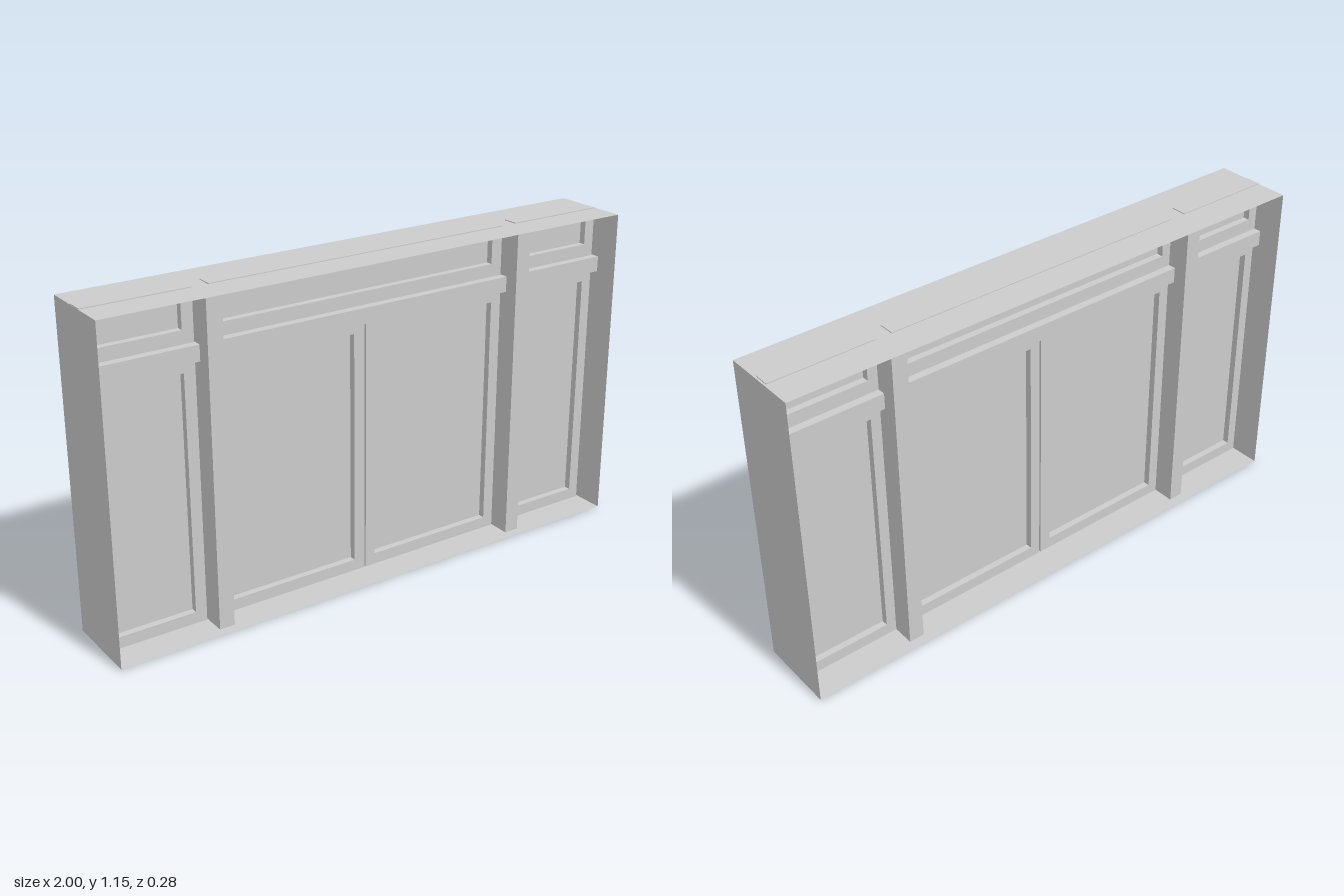
import * as THREE from 'three';

export function createModel() {
  const model = new THREE.Group();
  model.name = 'windowWall';
  const grey = new THREE.MeshStandardMaterial({ color: 0xcccccc, flatShading: true });
  const sheet = new THREE.MeshStandardMaterial({ color: 0xcccccc, flatShading: true, side: THREE.DoubleSide });

  const add = (name, geometry, material, parent = model) => {
    const mesh = new THREE.Mesh(geometry, material);
    mesh.name = name;
    parent.add(mesh);
    return mesh;
  };

  // Box spanning x0..x1 and y0..y1, centred on z = 0
  const bar = (name, x0, x1, y0, y1, depth) =>
    add(name, new THREE.BoxGeometry(x1 - x0, y1 - y0, depth), grey)
      .position.set((x0 + x1) / 2, (y0 + y1) / 2, 0);

  const rect = (target, x0, x1, y0, y1) => {
    target.moveTo(x0, y0);
    target.lineTo(x1, y0);
    target.lineTo(x1, y1);
    target.lineTo(x0, y1);
    target.closePath();
    return target;
  };

  // Window unit: a frame with an opening and a thin pane in the middle
  const frameDepth = 0.056;
  const paneDepth = 0.008;
  const windowUnit = (name, x0, x1, y0, y1, opening) => {
    const unit = new THREE.Group();
    unit.name = name;
    model.add(unit);
    const [ox0, ox1, oy0, oy1] = opening;
    const shape = rect(new THREE.Shape(), x0, x1, y0, y1);
    shape.holes.push(rect(new THREE.Path(), ox0, ox1, oy0, oy1));
    const frame = new THREE.ExtrudeGeometry(shape, { depth: frameDepth, bevelEnabled: false });
    frame.translate(0, 0, -frameDepth / 2);
    add('frame', frame, grey, unit);
    add('pane', new THREE.BoxGeometry(ox1 - ox0, oy1 - oy0, paneDepth), grey, unit)
      .position.set((ox0 + ox1) / 2, (oy0 + oy1) / 2, 0);
  };

  // Lower windows and the transom lights above them
  const lower = [
    ['rightSideWindow', -0.999, -0.634, -0.963, -0.674],
    ['rightDoor', -0.577, -0.006, -0.537, -0.047],
    ['leftDoor', 0, 0.569, 0.038, 0.529],
    ['leftSideWindow', 0.625, 0.993, 0.662, 0.954],
  ];
  for (const [name, x0, x1, ox0, ox1] of lower)
    windowUnit(name, x0, x1, 0, 0.917, [ox0, ox1, 0.044, 0.879]);

  const upper = [
    ['rightTransomLight', -0.999, -0.634, -0.963, -0.674],
    ['centreTransomLight', -0.577, 0.567, -0.54, 0.525],
    ['leftTransomLight', 0.625, 0.993, 0.662, 0.954],
  ];
  for (const [name, x0, x1, ox0, ox1] of upper)
    windowUnit(name, x0, x1, 0.972, 1.148, [ox0, ox1, 1.018, 1.11]);

  // Upright posts and the horizontal rails between them
  bar('rightPost', -0.631, -0.576, 0.003, 1.145, 0.216);
  bar('leftPost', 0.571, 0.626, 0.003, 1.145, 0.216);
  bar('rightRail', -0.999, -0.631, 0.917, 0.972, 0.112);
  bar('centreRail', -0.576, 0.571, 0.917, 0.972, 0.112);
  bar('leftRail', 0.626, 0.999, 0.917, 0.972, 0.112);

  // Thin lining around the opening
  const depth = 0.284;
  const y0 = 0.003, y1 = 1.145;
  for (const side of [-1, 1]) {
    const jamb = add(side < 0 ? 'rightJamb' : 'leftJamb', new THREE.PlaneGeometry(depth, y1 - y0), sheet);
    jamb.rotation.y = side * Math.PI / 2;
    jamb.position.set(side, (y0 + y1) / 2, 0);
    const board = add(side < 0 ? 'sill' : 'head', new THREE.PlaneGeometry(2, depth), sheet);
    board.rotation.x = -side * Math.PI / 2;
    board.position.y = side < 0 ? y0 : y1;
  }
  return model;
}
